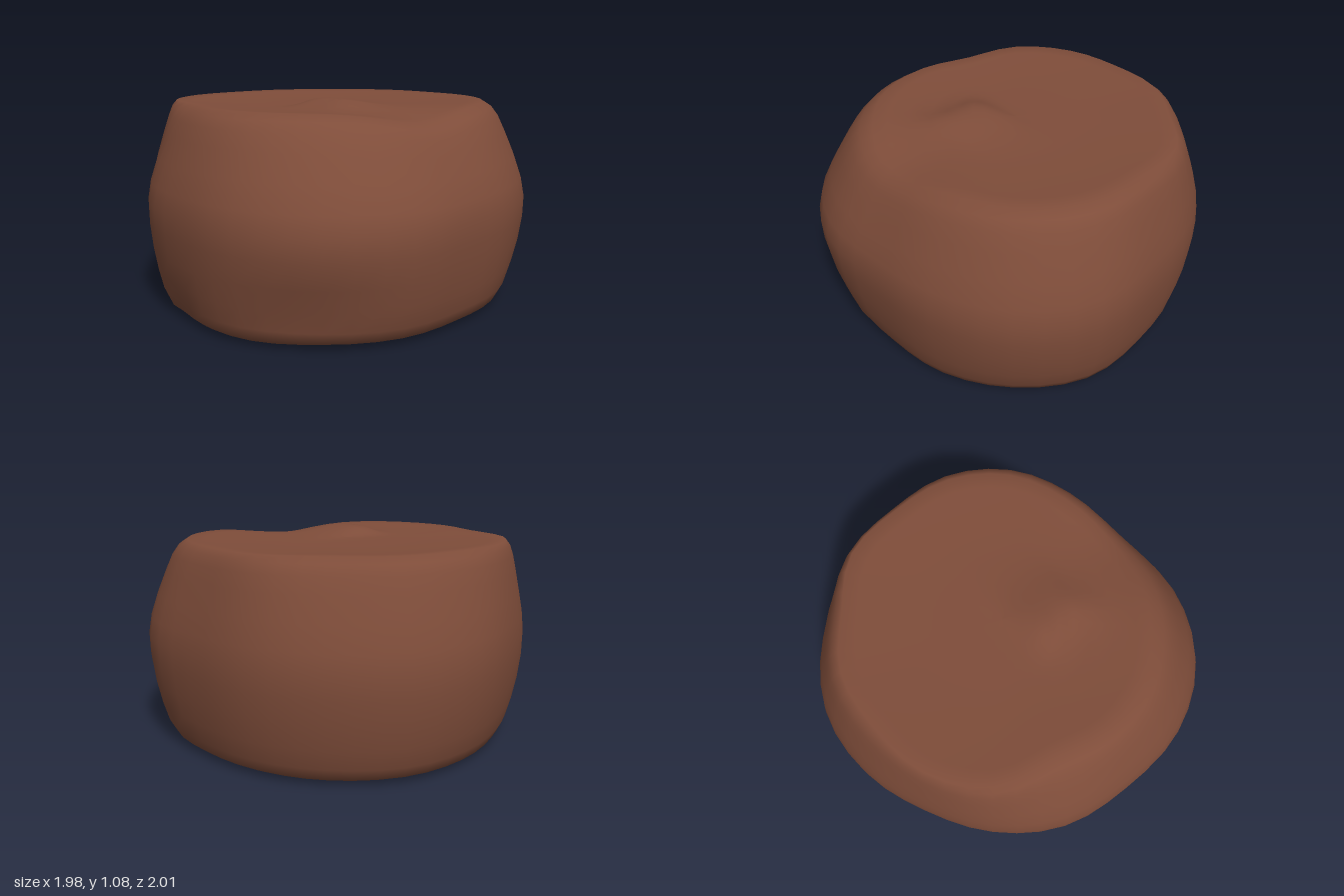
import * as THREE from 'three';

// Radii every 22.5 degrees, turning from +x towards +z
const WAIST = [.985, 1.05, 1.08, 1.05, .995, .995, .97, .95, .985, 1.015, 1, .99, .99, 1.065, 1.07, 1.02];
const RIM = [.74, .74, .74, .76, .76, .74, .84, .85, .82, .83, .80, .85, .83, .85, .83, .77];
const BASE = [.84, .86, .87, .90, .88, .85, .80, .79, .81, .84, .84, .84, .85, .88, .86, .86];
const SEGMENTS = 48;

// Smooth periodic lookup in a radius table
function radiusAt(table, angle) {
  const n = table.length;
  const f = (angle / (Math.PI * 2)) * n;
  const i = Math.floor(f), t = f - i;
  const [a, b, c, d] = [-1, 0, 1, 2].map(k => table[(i + k + n) % n]);
  return b + 0.5 * t * (c - a + t * (2 * a - 5 * b + 4 * c - d + t * (3 * (b - c) + d - a)));
}

// Soft hollows pressed into the lower side: [angle, height, angular width, height width, depth]
const DENTS = [[0.85, 0.2, 0.35, 0.13, 0.035], [1.66, 0.1, 0.1, 0.1, 0.025]];
const dentAt = (angle, y) => DENTS.reduce((sum, [a, h, w, v, depth]) =>
  sum + depth * Math.exp(-(((angle - a) / w) ** 2) - ((y - h) / v) ** 2), 0);

// The rim sags a little on the left
const sagAt = angle => 0.06 * Math.exp(-((Math.sin((angle - 0.1) / 2) / 0.2) ** 2));

// Low fold on the top, steep towards the front
const foldAt = (x, z) =>
  0.05 * Math.exp(-(((x - 0.21) / 0.19) ** 4) - ((z - 0.19) / (z > 0.19 ? 0.1 : 0.24)) ** 2);

// Skin closed rings, each a function from angle to [radius, height]
function loft(rings) {
  const positions = [], indices = [];
  rings.forEach((ring, j) => {
    for (let i = 0; i < SEGMENTS; i++) {
      const angle = (i / SEGMENTS) * Math.PI * 2;
      const [r, y] = ring(angle);
      positions.push(r * Math.cos(angle), y, r * Math.sin(angle));
      if (j === 0) continue;
      const next = (i + 1) % SEGMENTS;
      const a = (j - 1) * SEGMENTS + i, b = (j - 1) * SEGMENTS + next;
      const c = j * SEGMENTS + i, d = j * SEGMENTS + next;
      indices.push(a, c, b, b, c, d);
    }
  });
  const geometry = new THREE.BufferGeometry();
  geometry.setAttribute('position', new THREE.Float32BufferAttribute(positions, 3));
  geometry.setIndex(indices);
  geometry.computeVertexNormals();
  return geometry;
}

export function createModel() {
  const group = new THREE.Group();
  group.name = 'roundedLump';
  const brown = new THREE.MeshStandardMaterial({ color: 0x7f4d3a });
  brown.name = 'warmBrown';

  const add = (name, geometry) => {
    const mesh = new THREE.Mesh(geometry, brown);
    mesh.name = name;
    group.add(mesh);
  };

  // Bulging side: [height, table at the narrow end, blend towards the waist]
  const side = [
    [0.005, BASE, 0], [0.04, BASE, 0.42], [0.1, BASE, 0.6], [0.2, BASE, 0.76], [0.32, BASE, 0.9],
    [0.45, BASE, 0.99], [0.56, RIM, 1], [0.66, RIM, 0.92], [0.78, RIM, 0.74], [0.9, RIM, 0.52],
    [0.98, RIM, 0.36], [1.03, RIM, 0.2], [1.06, RIM, 0],
  ].map(([y, table, blend]) => angle => {
    const end = radiusAt(table, angle);
    const r = end + (radiusAt(WAIST, angle) - end) * blend - (y > 0.02 ? dentAt(angle, y) : 0);
    return [r, y - sagAt(angle) * THREE.MathUtils.smoothstep(y, 0.5, 1.06)];
  });

  // Shallow dished top with the fold: [height, share of the rim radius, share of the sag]
  const top = [
    [1.055, 0.9, 0.75], [1.048, 0.75, 0.35], [1.043, 0.6, 0.1], [1.04, 0.48, 0], [1.04, 0.38, 0],
    [1.04, 0.3, 0], [1.04, 0.22, 0], [1.04, 0.14, 0], [1.04, 0.07, 0], [1.04, 0.001, 0],
  ].map(([y, scale, sag]) => angle => {
    const r = radiusAt(RIM, angle) * scale;
    return [r, y - sag * sagAt(angle) + foldAt(r * Math.cos(angle), r * Math.sin(angle))];
  });
  add('body', loft([...side, ...top]));

  // Flat underside with a hard edge
  add('underside', loft([0.001, 0.5, 1].map(s => angle => [radiusAt(BASE, angle) * s, 0.005])));

  return group;
}
